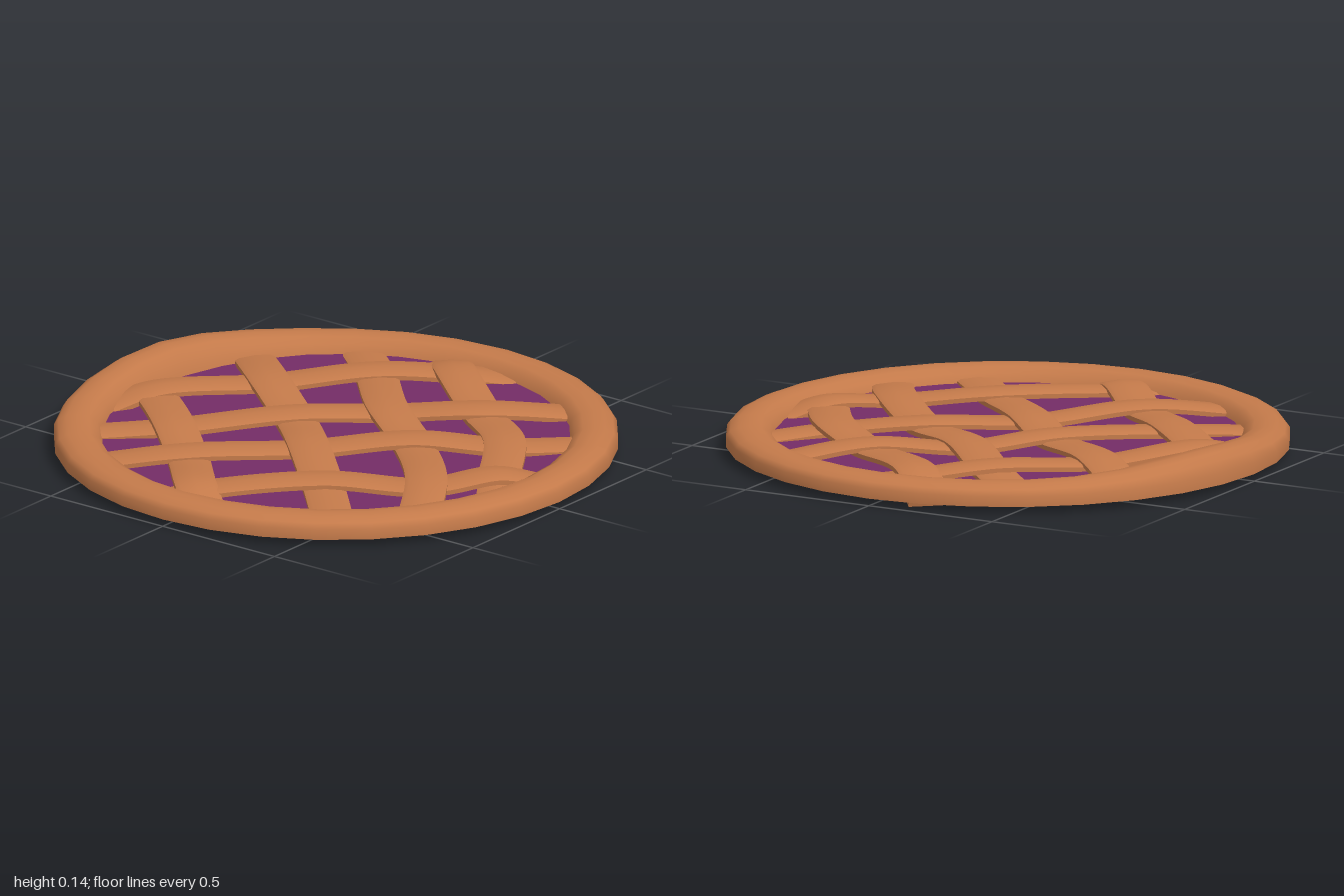
import * as THREE from 'three';
import { mergeVertices, toCreasedNormals } from 'three/addons/utils/BufferGeometryUtils.js';

const crustMat = new THREE.MeshStandardMaterial({ color: 0xc47a4a, side: THREE.DoubleSide });
const fillingMat = new THREE.MeshStandardMaterial({ color: 0x742c66, side: THREE.DoubleSide });

// Points [x, z] where the four strips of one direction (rows) cross those of the other (columns)
const CROSSINGS = [
  [[-0.04, -0.73], [0.30, -0.46], [0.56, -0.25], [0.75, 0.03]],
  [[-0.24, -0.54], [0.02, -0.27], [0.29, -0.07], [0.59, 0.24]],
  [[-0.50, -0.25], [-0.20, -0.02], [0.02, 0.19], [0.29, 0.45]],
  [[-0.74, 0.09], [-0.49, 0.31], [-0.26, 0.52], [-0.03, 0.77]],
];
// Strip ends [x, y, z], tucked under the crust
const ROW_ENDS = [
  [[-0.19, 0.022, -0.90], [0.84, 0.055, 0.15]],
  [[-0.47, 0.05, -0.75], [0.74, 0.06, 0.48]],
  [[-0.75, 0.05, -0.48], [0.54, 0.06, 0.71]],
  [[-0.85, 0.05, 0.0], [0.08, 0.05, 0.86]],
];
const COLUMN_ENDS = [
  [[0.14, 0.05, -0.86], [-0.84, 0.05, 0.26]],
  [[0.54, 0.055, -0.71], [-0.71, 0.055, 0.50]],
  [[0.75, 0.055, -0.47], [-0.53, 0.055, 0.75]],
  [[0.86, 0.05, -0.10], [-0.10, 0.05, 0.87]],
];

// Flat dough strip: a low arched section swept along a path, always kept level sideways
function stripGeometry(points, steps = 48) {
  const curve = new THREE.CatmullRomCurve3(points);
  const section = [[-0.075, -0.013], [0.075, -0.013], [0.075, 0.003], [0.06, 0.01],
    [0, 0.014], [-0.06, 0.01], [-0.075, 0.003]];
  const n = section.length;
  const up = new THREE.Vector3(0, 1, 0);
  const position = [];
  const index = [];
  for (let i = 0; i <= steps; i++) {
    const p = curve.getPointAt(i / steps);
    const tangent = curve.getTangentAt(i / steps);
    const side = tangent.clone().cross(up).normalize();
    const lift = side.clone().cross(tangent);
    for (const [s, u] of section) {
      position.push(...p.clone().addScaledVector(side, s).addScaledVector(lift, u).toArray());
    }
  }
  for (let i = 0; i < steps; i++) {
    for (let k = 0; k < n; k++) {
      const a = i * n + k, b = i * n + (k + 1) % n;
      index.push(a, a + n, b, b, a + n, b + n);
    }
  }
  const last = steps * n;
  for (let k = 1; k < n - 1; k++) {
    index.push(0, k, k + 1, last, last + k + 1, last + k);
  }
  const geometry = new THREE.BufferGeometry();
  geometry.setAttribute('position', new THREE.Float32BufferAttribute(position, 3));
  geometry.setIndex(index);
  return toCreasedNormals(geometry, 0.75);
}

// Hollow rolled rim, with one raised swelling on its right side
function crustGeometry() {
  const profile = [[1, 0.035], [1, 0.072], [0.985, 0.092], [0.955, 0.105], [0.915, 0.11],
    [0.875, 0.104], [0.845, 0.088], [0.83, 0.055]].map(([r, y]) => new THREE.Vector2(r, y));
  let geometry = new THREE.LatheGeometry(profile, 32);
  const pos = geometry.attributes.position;
  for (let i = 0; i < pos.count; i++) {
    const x = pos.getX(i), y = pos.getY(i), z = pos.getZ(i);
    const radius = Math.hypot(x, z);
    const fromBump = Math.atan2(z, -x) + 0.2;
    const bump = Math.exp(-((fromBump / 0.42) ** 2));
    const height = THREE.MathUtils.smoothstep(y, 0.06, 0.108);
    const inner = THREE.MathUtils.smoothstep(radius, 0.8, 0.95);
    const scale = 1 - 0.03 * bump * (1 - inner);
    pos.setXYZ(i, x * scale, y + 0.038 * bump * height, z * scale);
  }
  geometry.deleteAttribute('uv');
  geometry.deleteAttribute('normal');
  geometry = mergeVertices(geometry, 1e-4);
  geometry.computeVertexNormals();
  return geometry;
}

export function createModel() {
  const pie = new THREE.Group();
  pie.name = 'latticePie';
  const add = (name, geometry, material, parent = pie) => {
    const mesh = new THREE.Mesh(geometry, material);
    mesh.name = name;
    parent.add(mesh);
    return mesh;
  };

  add('crustRim', crustGeometry(), crustMat);

  // Fruit filling
  const filling = add('filling', new THREE.CircleGeometry(0.85, 32), fillingMat);
  filling.rotation.x = -Math.PI / 2;
  filling.position.y = 0.057;

  // Woven lattice: strips pass over and under each other in turn
  const lattice = new THREE.Group();
  lattice.name = 'lattice';
  pie.add(lattice);
  const OVER = 0.092, UNDER = 0.071;
  const addStrip = (name, ends, middle) => {
    const points = [ends[0], ...middle, ends[1]].map((p) => new THREE.Vector3(...p));
    add(name, stripGeometry(points), crustMat, lattice);
  };
  for (let i = 0; i < 4; i++) {
    const row = [], column = [];
    for (let j = 0; j < 4; j++) {
      const rowOver = (i + j) % 2 === 0;
      const [rx, rz] = CROSSINGS[i][j];
      const [cx, cz] = CROSSINGS[j][i];
      row.push([rx, rowOver ? OVER : UNDER, rz]);
      column.push([cx, rowOver ? UNDER : OVER, cz]);
    }
    addStrip(`rowStrip${i + 1}`, ROW_ENDS[i], row);
    addStrip(`columnStrip${i + 1}`, COLUMN_ENDS[i], column);
  }
  return pie;
}
